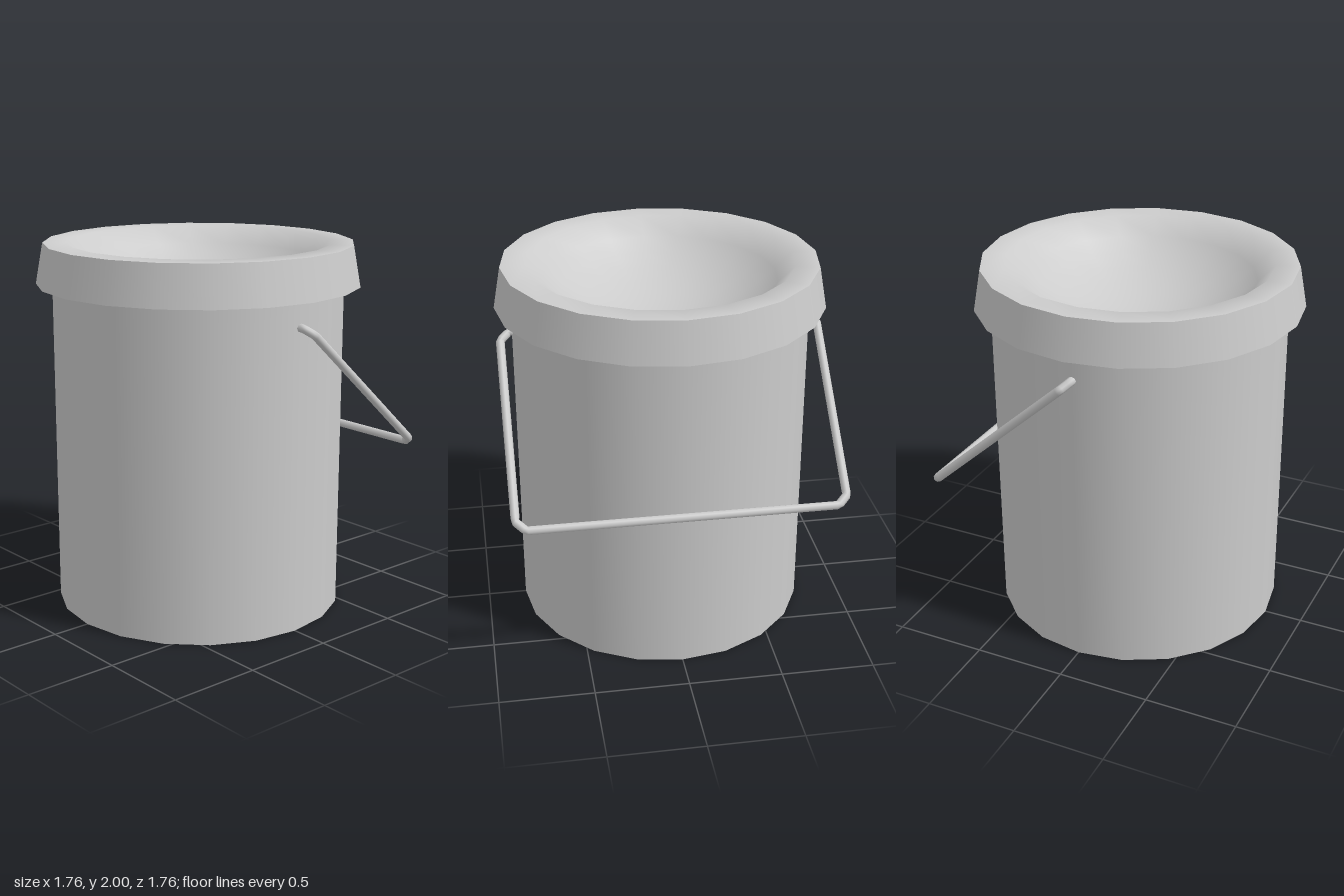
import * as THREE from 'three';

const SIDES = 20;
const material = new THREE.MeshStandardMaterial({ color: 0xcccccc, side: THREE.DoubleSide });

// Surface of revolution, smooth within one profile; separate profiles keep sharp edges
function revolve(name, profile) {
  const points = profile.map(([r, y]) => new THREE.Vector2(r, y));
  const mesh = new THREE.Mesh(new THREE.LatheGeometry(points, SIDES), material);
  mesh.name = name;
  return mesh;
}

// Path through straight runs with chamfered corners
function chamferedPath(points, size) {
  const path = new THREE.CurvePath();
  let start = points[0];
  for (let i = 1; i < points.length - 1; i++) {
    const p = points[i];
    const toward = (q) => p.clone().add(q.clone().sub(p).setLength(size));
    const a = toward(points[i - 1]);
    const b = toward(points[i + 1]);
    path.add(new THREE.LineCurve3(start, a));
    path.add(new THREE.LineCurve3(a, b));
    start = b;
  }
  path.add(new THREE.LineCurve3(start, points[points.length - 1]));
  return path;
}

export function createModel() {
  const bucket = new THREE.Group();
  bucket.name = 'bucket';

  // Outer shell: base disc and wall
  bucket.add(revolve('base', [[0, 0], [0.79, 0]]));
  bucket.add(revolve('wall', [[0.79, 0], [0.79, 1.78]]));

  // Flared collar around the mouth
  bucket.add(revolve('collarUnderside', [[0.79, 1.78], [0.878, 1.78]]));
  bucket.add(revolve('collar', [[0.878, 1.78], [0.838, 2]]));

  // Lip running into a shallow round bowl
  const bowlRadius = 0.71, depth = 0.33, rings = 8;
  const R = (bowlRadius ** 2 + depth ** 2) / (2 * depth);
  const interior = [[0.838, 2]];
  for (let i = 0; i <= rings; i++) {
    const r = bowlRadius * (1 - i / rings);
    interior.push([r, 2 - depth + R - Math.sqrt(R * R - r * r)]);
  }
  bucket.add(revolve('interior', interior));

  // Wire handle hanging to one side
  const v = (x, y, z) => new THREE.Vector3(x, y, z);
  const path = chamferedPath([
    v(0, 1.64, 0.76), v(0, 1.64, 0.855), v(0.817, 0.908, 0.855),
    v(0.817, 0.908, -0.855), v(0, 1.64, -0.855), v(0, 1.64, -0.76),
  ], 0.05);
  const handle = new THREE.Mesh(new THREE.TubeGeometry(path, 200, 0.023, 8), material);
  handle.name = 'handle';
  bucket.add(handle);

  return bucket;
}
